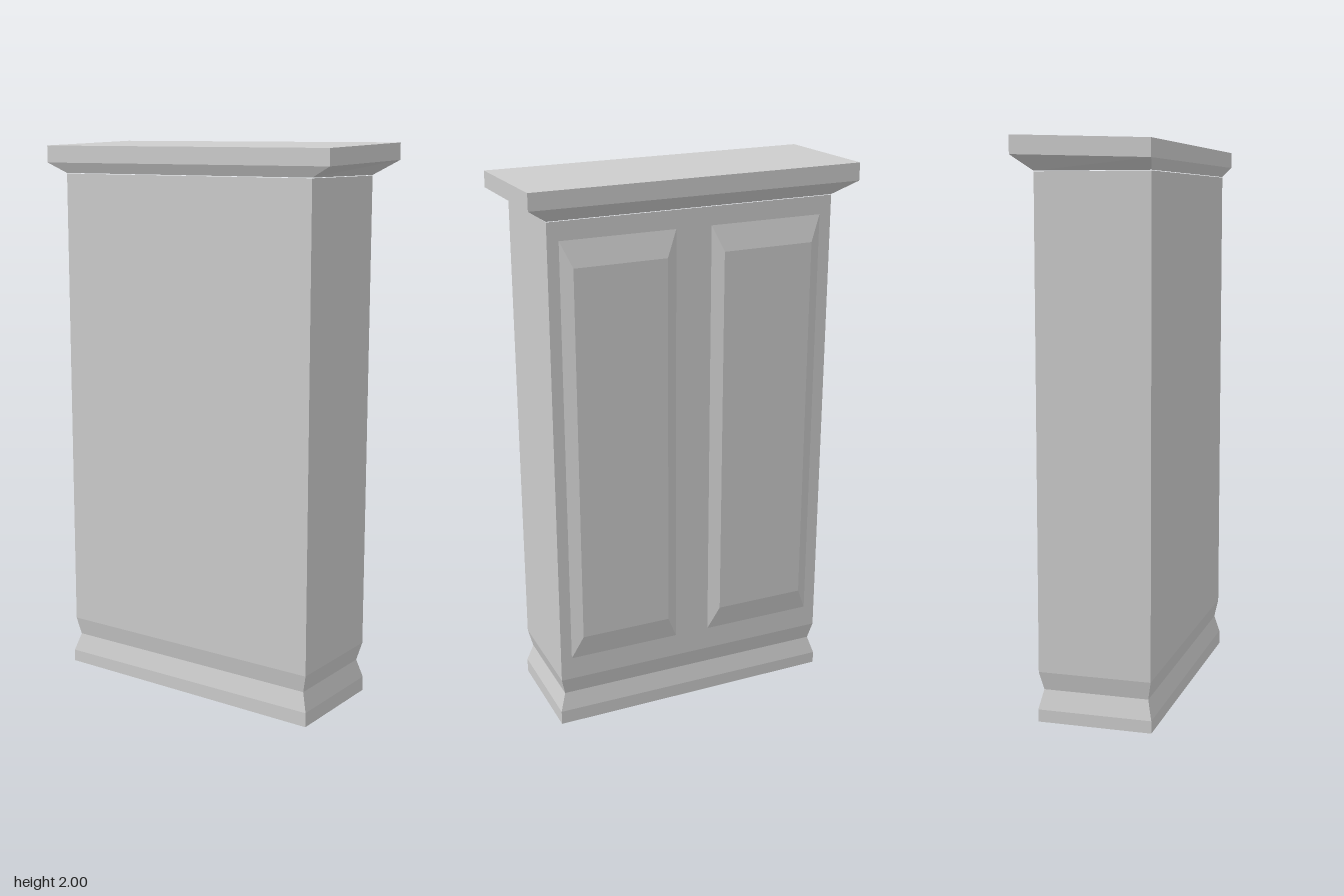
import * as THREE from 'three';

const stone = new THREE.MeshStandardMaterial({ color: 0xcccccc });
stone.name = 'plain grey';

// Skin a stack of rectangular rings with flat faces.
// ring = [y, xMin, xMax, zBack, zFront, slopeX, slopeZ]
function loft(name, rings, capBottom, capTop) {
  const pos = [];
  const corners = rings.map(([y, x0, x1, z0, z1, sx = 0, sz = 0]) =>
    [[x0, z1], [x1, z1], [x1, z0], [x0, z0]].map(([x, z]) => [x, y + sx * x + sz * z, z]));
  const quad = (a, b, c, d) => pos.push(...a, ...b, ...c, ...a, ...c, ...d);
  for (let i = 0; i < corners.length - 1; i++) {
    const lo = corners[i], hi = corners[i + 1];
    for (let k = 0; k < 4; k++) {
      const n = (k + 1) % 4;
      quad(lo[k], lo[n], hi[n], hi[k]);
    }
  }
  if (capTop) quad(...corners[corners.length - 1]);
  if (capBottom) quad(...[...corners[0]].reverse());
  const geo = new THREE.BufferGeometry();
  geo.setAttribute('position', new THREE.Float32BufferAttribute(pos, 3));
  geo.computeVertexNormals();
  const mesh = new THREE.Mesh(geo, stone);
  mesh.name = name;
  return mesh;
}

export function createModel() {
  const group = new THREE.Group();
  group.name = 'panelledPillar';

  // Moulded plinth with a pinched neck
  group.add(loft('plinth', [
    [0.005, -0.53, 0.525, -0.18, 0.225, -0.008],
    [0.053, -0.53, 0.525, -0.18, 0.225],
    [0.12, -0.508, 0.504, -0.165, 0.208],
    [0.185, -0.522, 0.52, -0.18, 0.22],
  ], true, false));

  // Plain shaft
  group.add(loft('shaft', [
    [0.185, -0.522, 0.52, -0.18, 0.22],
    [1.885, -0.522, 0.52, -0.18, 0.22],
  ], false, false));

  // Flared, slightly tilted cap slab
  group.add(loft('cap', [
    [1.887, -0.522, 0.52, -0.18, 0.22],
    [1.931, -0.598, 0.596, -0.236, 0.239, 0, -0.03],
    [1.991, -0.598, 0.596, -0.236, 0.239, -0.003, -0.033],
  ], false, true));

  // Two raised bevelled panels on the back
  for (const side of [-1, 1]) {
    const panel = loft(side > 0 ? 'leftBackPanel' : 'rightBackPanel', [
      [0, -0.207, 0.207, -0.775, 0.775],
      [0.022, -0.167, 0.167, -0.685, 0.685],
    ], false, true);
    panel.rotation.x = -Math.PI / 2;
    panel.position.set(side * 0.272, 1.045, -0.18);
    group.add(panel);
  }
  return group;
}
